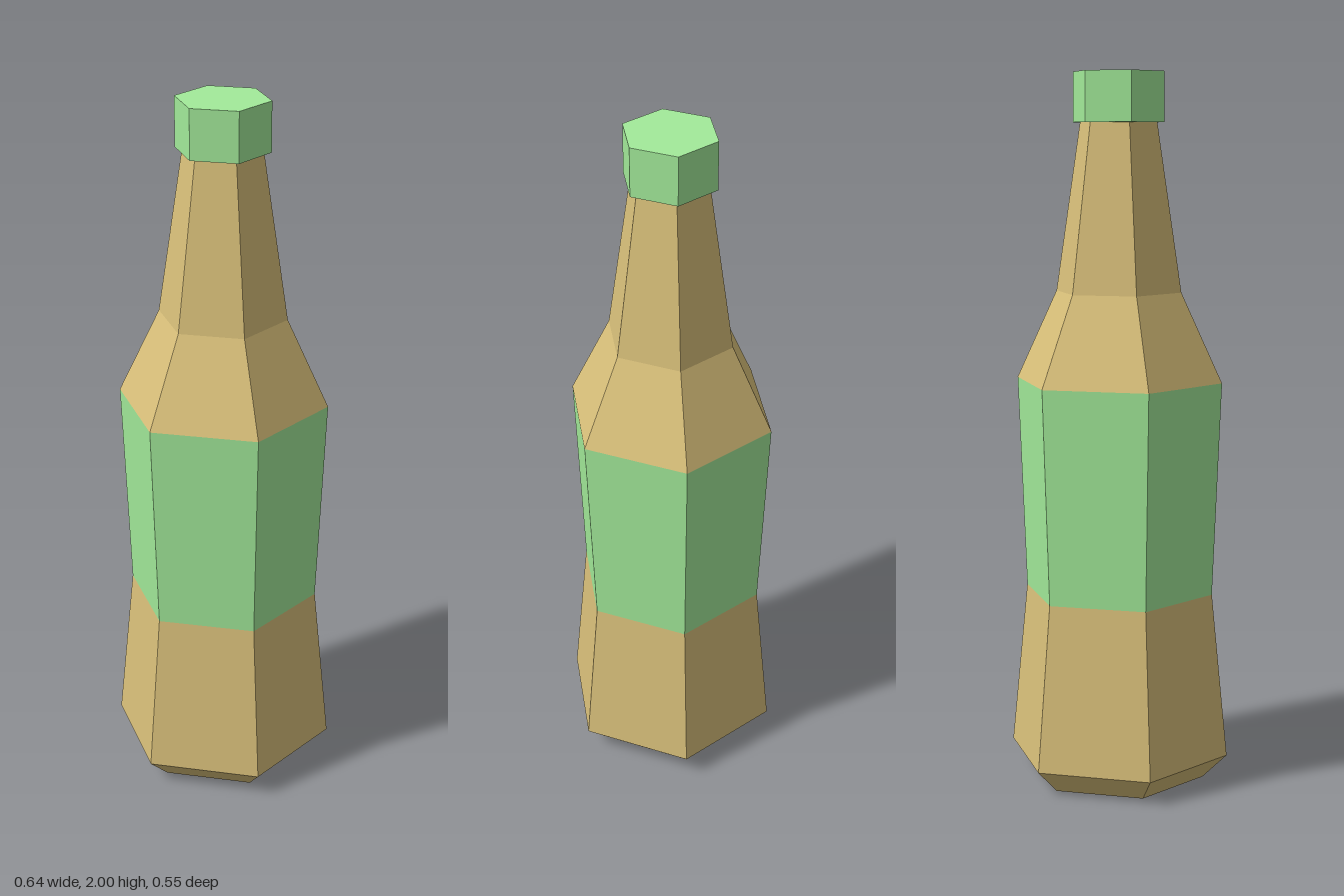
import * as THREE from 'three';

const glass = new THREE.MeshStandardMaterial({ color: 0xd9c07a, flatShading: true });
const green = new THREE.MeshStandardMaterial({ color: 0xa3eb9a, flatShading: true });

export function createModel() {
  const bottle = new THREE.Group();
  bottle.name = 'bottle';

  // Six-sided tapered section with corners on the x axis
  function section(name, material, [r0, y0], [r1, y1], open = true) {
    const geometry = new THREE.CylinderGeometry(r1, r0, y1 - y0, 6, 1, open, Math.PI / 6);
    const mesh = new THREE.Mesh(geometry, material);
    mesh.name = name;
    mesh.position.y = (y0 + y1) / 2;
    bottle.add(mesh);
  }

  // Outline of the body as [radius, height]
  const foot = [0.25, 0];
  const heel = [0.32, 0.07];
  const waist = [0.273, 0.54];
  const shoulderBase = [0.297, 1.145];
  const neckBase = [0.18, 1.395];
  const neckTop = [0.11, 1.862];

  section('base', glass, foot, heel, false);
  section('lowerBody', glass, heel, waist);
  section('labelBand', green, waist, shoulderBase);
  section('shoulder', glass, shoulderBase, neckBase);
  section('neck', glass, neckBase, neckTop);

  // Closed cap, slightly wider than the neck
  section('cap', green, [0.13, 1.862], [0.13, 2], false);

  return bottle;
}
